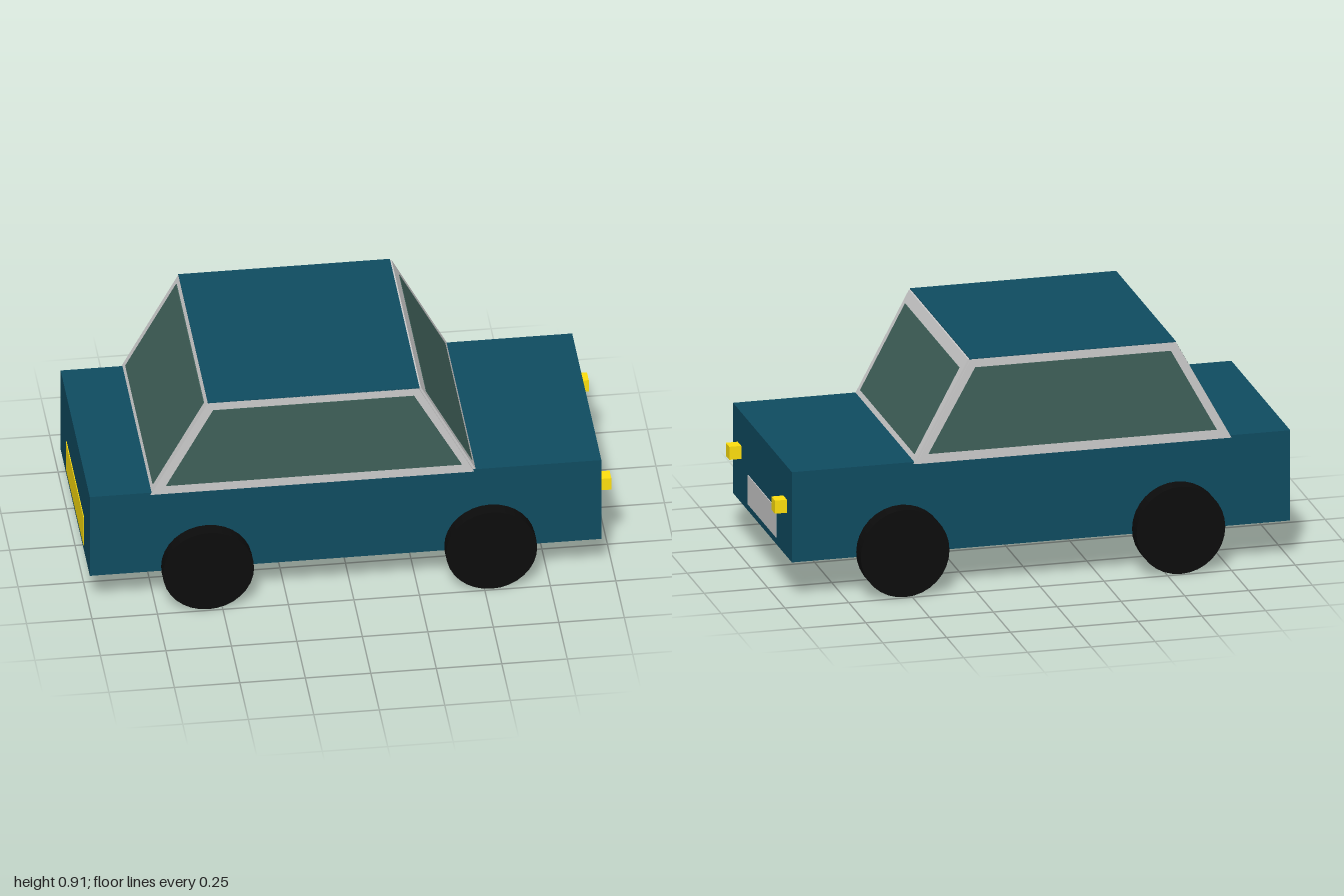
import * as THREE from 'three';

const mat = (color) => new THREE.MeshStandardMaterial({ color });

export function createModel() {
  const car = new THREE.Group();
  car.name = 'car';
  const paint = mat(0x0f4c61), trim = mat(0xcccccc), glass = mat(0x3f6059);
  const yellow = mat(0xffe00e), rubber = mat(0x0c0c0c);

  const add = (name, geometry, material) => {
    const mesh = new THREE.Mesh(geometry, material);
    mesh.name = name;
    car.add(mesh);
    return mesh;
  };
  // Box given by its limits on each axis
  const box = (name, material, [x0, x1], [y0, y1], [z0, z1]) =>
    add(name, new THREE.BoxGeometry(x1 - x0, y1 - y0, z1 - z0), material)
      .position.set((x0 + x1) / 2, (y0 + y1) / 2, (z0 + z1) / 2);
  // Side profile (x, y) extruded from z0 to z1
  const slab = (name, material, points, z0, z1) => {
    const shape = new THREE.Shape(points.map(([x, y]) => new THREE.Vector2(x, y)));
    const geometry = new THREE.ExtrudeGeometry(shape, { depth: z1 - z0, bevelEnabled: false });
    add(name, geometry.translate(0, 0, z0), material);
  };
  // Thin sloping sheet between two profile points
  const sheet = (name, material, [xa, ya], [xb, yb], t, z0, z1) =>
    slab(name, material, [[xa, ya], [xa + t, ya], [xb + t, yb], [xb, yb]], z0, z1);

  // Lower body
  box('body', paint, [-1, 0.953], [0.155, 0.515], [-0.426, 0.437]);

  // Cabin frame, with the windscreen frame laid on its front slope
  slab('cabinFrame', trim, [[-0.768, 0.508], [0.467, 0.508], [0.254, 0.908], [-0.55, 0.908]], -0.434, 0.442);
  sheet('windscreenFrame', trim, [0.467, 0.508], [0.254, 0.908], 0.01, -0.43, 0.436);
  box('roof', paint, [-0.55, 0.258], [0.906, 0.911], [-0.434, 0.442]);

  // Windows
  const sidePane = [[-0.71, 0.545], [0.42, 0.545], [0.237, 0.875], [-0.53, 0.875]];
  slab('leftSideWindow', glass, sidePane, 0.44, 0.444);
  slab('rightSideWindow', glass, sidePane, -0.436, -0.432);
  sheet('windscreen', glass, [0.4606, 0.535], [0.2849, 0.865], 0.004, -0.392, 0.403);
  sheet('rearWindow', glass, [-0.757, 0.534], [-0.563, 0.89], 0.005, -0.4, 0.407);

  // Headlamps and number plates
  box('headlampLeft', yellow, [0.95, 1], [0.33, 0.382], [-0.353, -0.3]);
  box('headlampRight', yellow, [0.95, 1], [0.33, 0.382], [0.316, 0.368]);
  box('frontPlate', trim, [0.95, 0.956], [0.183, 0.299], [-0.203, 0.213]);
  box('rearPlate', yellow, [-1.003, -0.997], [0.183, 0.31], [-0.25, 0.27]);

  // Wheels
  for (const x of [-0.554, 0.527]) {
    for (const side of [-1, 1]) {
      const wheel = add('wheel', new THREE.CylinderGeometry(0.174, 0.174, 0.068, 32), rubber);
      wheel.rotation.x = Math.PI / 2;
      wheel.position.set(x, 0.175, side * 0.458);
    }
  }
  return car;
}
